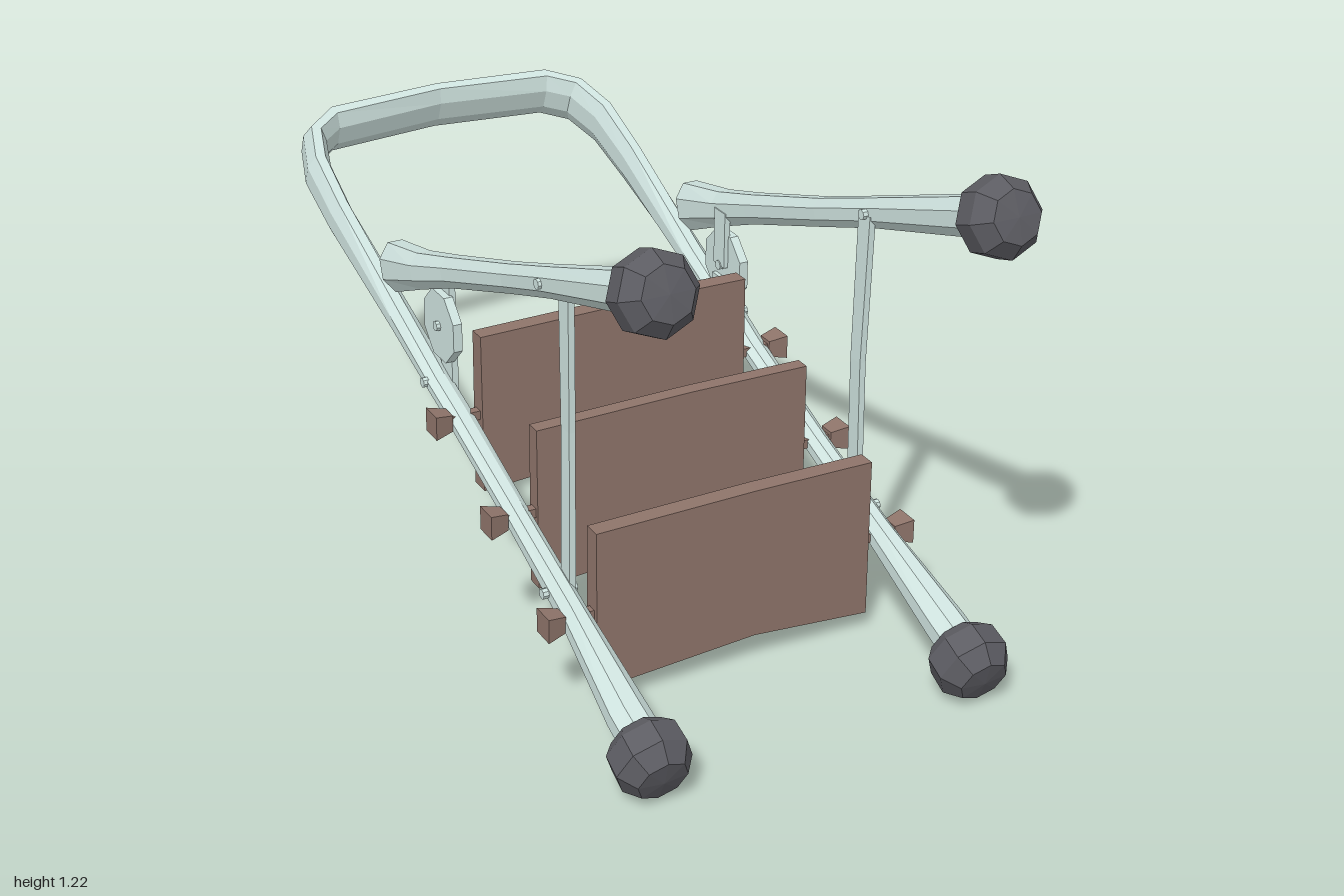
import * as THREE from 'three';

const mat = (color, side = THREE.FrontSide) =>
  new THREE.MeshStandardMaterial({ color, flatShading: true, side });
const metal = mat(0xcfe3df, THREE.DoubleSide);
const brown = mat(0x8e746a);
const rubber = mat(0x5c5c62);

// Eight-sided tube through stations [x, y, z, halfWidth, halfHeight]; normal is the up side of its plane
function loft(stations, normal, sides = 8) {
  const pos = [], idx = [];
  const pts = stations.map(s => new THREE.Vector3(s[0], s[1], s[2]));
  stations.forEach((s, i) => {
    const tangent = pts[Math.min(i + 1, pts.length - 1)].clone().sub(pts[Math.max(i - 1, 0)]);
    const side = tangent.cross(normal).normalize();
    for (let k = 0; k < sides; k++) {
      const a = ((k + 0.5) / sides) * Math.PI * 2, grow = 1.06;
      const p = pts[i].clone()
        .addScaledVector(side, Math.cos(a) * s[3] * grow)
        .addScaledVector(normal, Math.sin(a) * s[4] * grow);
      pos.push(p.x, p.y, p.z);
      if (i < stations.length - 1) {
        const A = i * sides + k, B = i * sides + (k + 1) % sides;
        idx.push(A, B, A + sides, B, B + sides, A + sides);
      }
    }
  });
  const g = new THREE.BufferGeometry();
  g.setAttribute('position', new THREE.Float32BufferAttribute(pos, 3));
  g.setIndex(idx);
  g.computeVertexNormals();
  return g;
}

export function createModel() {
  const model = new THREE.Group();
  const add = (name, geo, material, x = 0, y = 0, z = 0) => {
    const m = new THREE.Mesh(geo, material);
    m.name = name;
    m.position.set(x, y, z);
    model.add(m);
    return m;
  };

  // Main frame: two rails joined by a flattened arch
  const half = [
    [0.392, 0.115, 0.92, 0.046, 0.045],
    [0.392, 0.147, 0.83, 0.045, 0.042],
    [0.385, 0.245, 0.57, 0.03, 0.033],
    [0.384, 0.345, 0.3, 0.028, 0.026],
    [0.386, 0.46, 0, 0.03, 0.022],
    [0.39, 0.5, -0.1, 0.03, 0.022],
    [0.392, 0.575, -0.3, 0.03, 0.03],
    [0.4, 0.705, -0.65, 0.028, 0.055],
    [0.395, 0.765, -0.8, 0.03, 0.062],
    [0.365, 0.8, -0.9, 0.03, 0.064],
    [0.295, 0.817, -0.95, 0.032, 0.064],
  ];
  const mirrored = half.map(([x, ...r]) => [-x, ...r]).reverse();
  add('mainFrame', loft([...half, [0, 0.823, -0.972, 0.028, 0.064], ...mirrored],
    new THREE.Vector3(0, 0.93, 0.367).normalize()), metal);

  // Steps with a slight kink in the lower edge: [centre y, height, z, thickness, rail y]
  const steps = [
    [0.25, 0.385, 0.572, 0.05, 0.24],
    [0.358, 0.395, 0.293, 0.042, 0.348],
    [0.465, 0.39, 0.008, 0.05, 0.46],
  ];
  for (const [y, h, z, t, railY] of steps) {
    const g = new THREE.BoxGeometry(0.685, h, t, 2, 1, 1);
    const p = g.attributes.position;
    for (let i = 0; i < p.count; i++) {
      const top = p.getY(i) > 0;
      if (Math.abs(p.getX(i)) < 0.01) {
        p.setX(i, 0.05);
        p.setY(i, p.getY(i) + (top ? 0.004 : 0.025));
      }
      if (top) p.setZ(i, p.getZ(i) * 0.85);
    }
    add('step', g, brown, 0, y, z);
    for (const s of [-1, 1]) {
      // Flared peg outside the rail and a thin stem through it
      const peg = add('stepPeg', new THREE.CylinderGeometry(0.041, 0.028, 0.045, 4)
        .rotateY(Math.PI / 4), brown, s * 0.437, railY, z);
      peg.rotation.z = -s * Math.PI / 2;
      add('pegStem', new THREE.BoxGeometry(0.09, 0.022, 0.022), brown, s * 0.38, railY, z);
    }
  }

  const capProfile = [[0, -0.062], [0.062, -0.062], [0.086, -0.036], [0.088, 0.018], [0.058, 0.058], [0, 0.064]]
    .map(p => new THREE.Vector2(...p));

  for (const s of [-1, 1]) {
    // Upper rail, flared and open at the back
    add('upperRail', loft([
      [s * 0.395, 1.145, 0.92, 0.046, 0.045],
      [s * 0.395, 1.113, 0.83, 0.044, 0.043],
      [s * 0.39, 0.998, 0.5, 0.033, 0.034],
      [s * 0.385, 0.925, 0.3, 0.031, 0.033],
      [s * 0.388, 0.82, 0, 0.035, 0.036],
      [s * 0.392, 0.765, -0.15, 0.04, 0.043],
      [s * 0.392, 0.712, -0.31, 0.046, 0.06],
    ], new THREE.Vector3(0, 0.942, -0.335).normalize()), metal);

    // Rubber end caps along each rail's axis
    for (const [y, tilt] of [[0.103, 0.375], [1.148, -0.35]]) {
      const cap = add('endCap', new THREE.LatheGeometry(capProfile, 8), rubber, s * 0.393, y, 0.932);
      cap.rotation.x = Math.PI / 2 + tilt;
    }

    // Upright strut between the rails
    add('strut', loft([
      [s * 0.362, 0.27, 0.5, 0.01, 0.027],
      [s * 0.358, 0.65, 0.496, 0.01, 0.026],
      [s * 0.362, 1.0, 0.5, 0.01, 0.03],
    ], new THREE.Vector3(0, 0, 1), 4), metal);

    // Hinge: ring disc, its hub and the two links
    const ring = new THREE.Shape();
    ring.setFromPoints(Array.from({ length: 8 }, (_, i) => {
      const a = (i + 0.5) * Math.PI / 4;
      return new THREE.Vector2(0.088 * Math.cos(a), 0.088 * Math.sin(a));
    }));
    const disc = add('hingeDisc', new THREE.ExtrudeGeometry(ring, { depth: 0.022, bevelEnabled: false })
      .translate(0, 0, -0.011), metal, s * 0.372, 0.64, -0.11);
    disc.rotation.y = Math.PI / 2;
    add('lowerLink', new THREE.BoxGeometry(0.015, 0.13, 0.06), metal, s * 0.358, 0.545, -0.11);
    add('upperLink', new THREE.BoxGeometry(0.015, 0.14, 0.05), metal, s * 0.358, 0.71, -0.11);
    const bolt = (x, y, z, len) => add('bolt', new THREE.CylinderGeometry(0.012, 0.012, len, 8)
      .rotateZ(Math.PI / 2), metal, s * x, y, z);
    bolt(0.37, 0.64, -0.11, 0.045);

    // Bolts through the rails
    bolt(0.388, 1.0, 0.5, 0.085);
    bolt(0.386, 0.27, 0.5, 0.082);
    bolt(0.386, 0.505, -0.11, 0.085);
  }
  return model;
}
